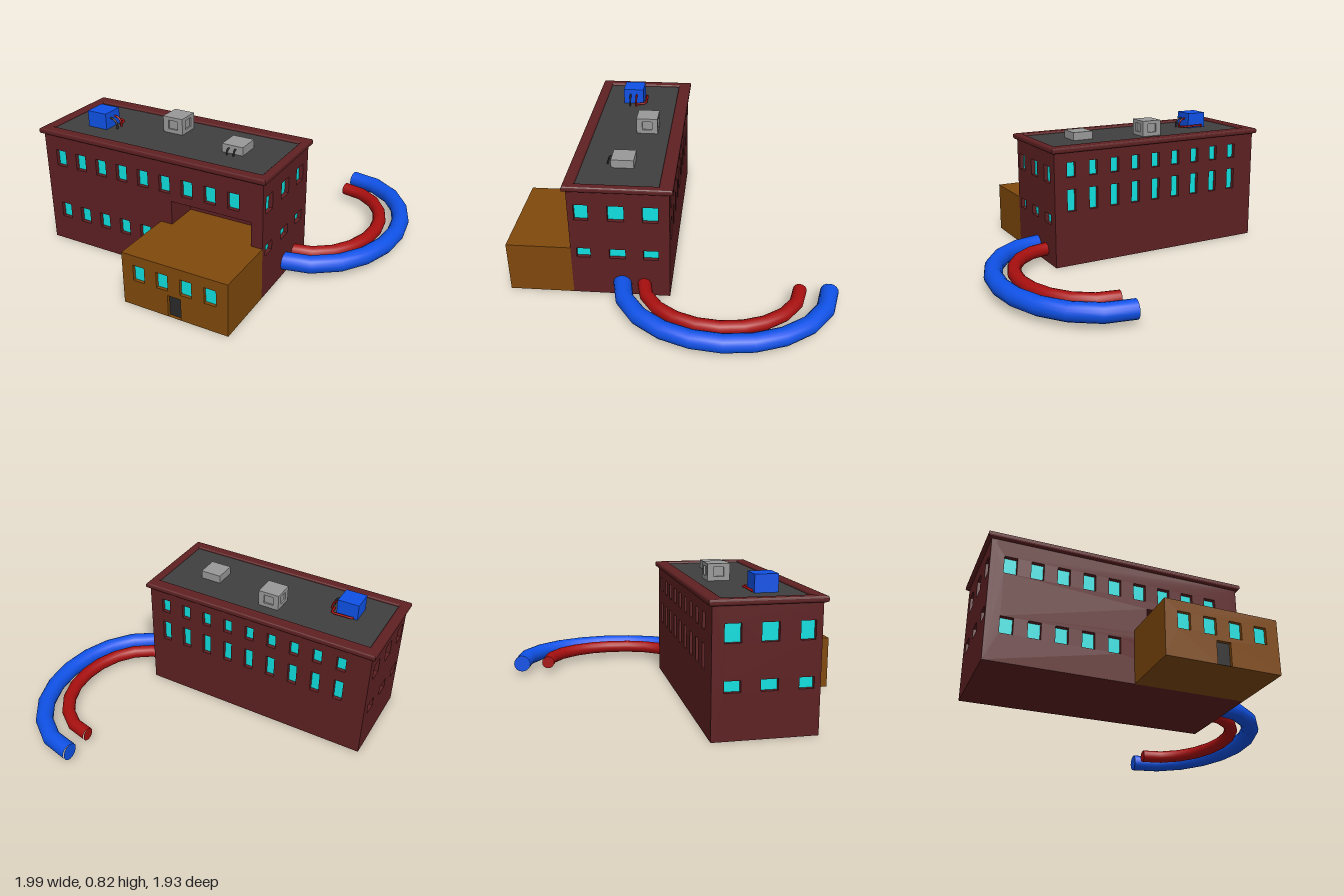
import * as THREE from 'three';

const mat = (color) => new THREE.MeshStandardMaterial({ color });
const BRICK = mat(0x5e2022), ROOF = mat(0x3f3f3f), OCHRE = mat(0x80490c), GLASS = mat(0x10e0e0);
const DOOR = mat(0x2a2a2a), BLUE = mat(0x0f52e8), RED = mat(0xa80f0f), GREY = mat(0x999999), DARK = mat(0x30303a);

function add(parent, name, geometry, material) {
  const mesh = new THREE.Mesh(geometry, material);
  mesh.name = name;
  parent.add(mesh);
  return mesh;
}

// Box given by its minimum and maximum corners
function box(parent, name, [x0, y0, z0], [x1, y1, z1], material) {
  const mesh = add(parent, name, new THREE.BoxGeometry(x1 - x0, y1 - y0, z1 - z0), material);
  mesh.position.set((x0 + x1) / 2, (y0 + y1) / 2, (z0 + z1) / 2);
  return mesh;
}

function rect(Type, x0, y0, x1, y1) {
  const s = new Type();
  s.moveTo(x0, y0);
  s.lineTo(x1, y0);
  s.lineTo(x1, y1);
  s.lineTo(x0, y1);
  s.closePath();
  return s;
}

// Wall panel facing +z with openings; each opening is { r: [x0, y0, x1, y1], m: pane material }
function wall(parent, name, [x0, y0, x1, y1], depth, openings, material) {
  const g = new THREE.Group();
  g.name = name;
  const shape = rect(THREE.Shape, x0, y0, x1, y1);
  for (const { r, m } of openings) {
    shape.holes.push(rect(THREE.Path, ...r));
    if (m) box(g, m === DOOR ? 'door' : 'windowPane', [r[0], r[1], -0.004], [r[2], r[3], 0.006], m);
  }
  add(g, name + 'Panel', new THREE.ExtrudeGeometry(shape, { depth, bevelEnabled: false }), material);
  parent.add(g);
  return g;
}

// Evenly spaced row of windows
const row = (start, step, count, w, y0, y1) => Array.from({ length: count }, (_, i) => {
  const x = start + i * step;
  return { r: [x - w / 2, y0, x + w / 2, y1], m: GLASS };
});

function tube(parent, name, points, radius, segments, material, sides = 8) {
  const curve = new THREE.CatmullRomCurve3(points.map((p) => new THREE.Vector3(...p)));
  return add(parent, name, new THREE.TubeGeometry(curve, segments, radius, sides), material);
}

// Large half-ring pipe beside the building, with flat ends
function ringPipe(parent, name, cz, rx, rz, radius, material) {
  const points = [];
  for (let i = 0; i <= 10; i++) {
    const a = -Math.PI / 2 + (Math.PI * i) / 10;
    points.push([0.45 + rx * Math.cos(a), 0.08, cz + rz * Math.sin(a)]);
  }
  tube(parent, name, points, radius, 10, material, 16);
  for (const s of [-1, 1]) {
    const cap = add(parent, name + 'End', new THREE.CircleGeometry(radius, 16), material);
    cap.position.set(0.45, 0.08, cz + s * rz);
    cap.rotation.y = -Math.PI / 2;
  }
}

export function createModel() {
  const model = new THREE.Group();
  model.name = 'building';
  const T = 0.03, X0 = -0.98, X1 = 0.47, Z0 = 0.01, Z1 = 0.585, H = 0.71;

  // Main block walls
  wall(model, 'frontWall', [X0, 0, X1, H], T, [
    ...row(-0.87, 0.1455, 9, 0.07, 0.507, 0.607),
    ...row(-0.87, 0.1455, 5, 0.07, 0.16, 0.255),
    { r: [-0.1, 0.31, 0.4, 0.46] },
  ], BRICK).position.z = Z1 - T;

  const back = wall(model, 'backWall', [-X1, 0, -X0, H], T, [
    ...row(-0.36, 0.146, 9, 0.055, 0.55, 0.64),
    ...row(-0.36, 0.146, 9, 0.055, 0.34, 0.475),
  ], BRICK);
  back.rotation.y = Math.PI;
  back.position.z = Z0 + T;

  const columns = [[0.47, 0.55], [0.267, 0.36], [0.075, 0.163]];
  for (const s of [1, -1]) {
    const openings = columns.flatMap(([a, b]) => [[0.51, 0.61], [0.255, 0.317]].map(([y0, y1]) => ({
      r: s > 0 ? [-b, y0, -a, y1] : [a, y0, b, y1], m: GLASS,
    })));
    const span = s > 0 ? [-Z1, 0, -Z0, H] : [Z0, 0, Z1, H];
    const end = wall(model, s > 0 ? 'leftEndWall' : 'rightEndWall', span, T, openings, BRICK);
    end.rotation.y = s * Math.PI / 2;
    end.position.x = s > 0 ? X1 - T : X0 + T;
  }
  box(model, 'baseSlab', [X0 + 0.002, 0, Z0 + 0.002], [X1 - 0.002, 0.02, Z1 - 0.002], BRICK);

  // Recess above the annex
  const zr = 0.385, zi = Z1 - T;
  box(model, 'recessBack', [-0.12, 0.29, zr - 0.02], [0.42, 0.48, zr], BRICK);
  box(model, 'recessCeiling', [-0.12, 0.46, zr], [0.42, 0.48, zi], BRICK);
  box(model, 'recessSide', [-0.12, 0.29, zr], [-0.1, 0.46, zi], BRICK);
  box(model, 'recessSide', [0.4, 0.29, zr], [0.42, 0.46, zi], BRICK);
  box(model, 'recessFloor', [-0.1, 0.29, zr], [0.4, 0.315, Z1], OCHRE);

  // Flat roof and bevelled parapet
  box(model, 'roof', [-0.96, 0.69, 0.03], [0.45, 0.722, 0.565], ROOF);
  const b = 0.012;
  const rim = rect(THREE.Shape, -1 + b, -0.605 + b, 0.49 - b, 0.01 - b);
  rim.holes.push(rect(THREE.Path, -0.94 - b, -0.54 - b, 0.44 + b, -0.07 + b));
  const parapet = add(model, 'parapet', new THREE.ExtrudeGeometry(rim, {
    depth: 0.035 - 2 * b, bevelThickness: b, bevelSize: b, bevelSegments: 3,
  }), BRICK);
  parapet.rotation.x = -Math.PI / 2;
  parapet.position.y = 0.7 + b;

  // Front annex with windows and door
  const ax = -0.175, az = 0.965, ah = 0.315, at = 0.025;
  box(model, 'annexBody', [ax, 0, Z1], [X1, ah, az - at], OCHRE);
  wall(model, 'annexFront', [ax, 0, X1, ah], at, [
    ...row(-0.07, 0.145, 4, 0.07, 0.16, 0.255),
    { r: [0.107, 0.0005, 0.187, 0.132], m: DOOR },
  ], OCHRE).position.z = az - at;

  // Half-ring pipes
  ringPipe(model, 'bluePipe', -0.31, 0.487, 0.605, 0.053, BLUE);
  ringPipe(model, 'redPipe', -0.29, 0.365, 0.455, 0.04, RED);

  // Blue rooftop unit with hoses
  const Y = 0.72;
  box(model, 'blueRoofUnit', [-0.78, Y, 0.285], [-0.65, 0.82, 0.415], BLUE);
  for (const [z, m] of [[0.33, RED], [0.37, DARK]]) {
    tube(model, 'sideHose', [[-0.66, 0.783, z], [-0.63, 0.778, z], [-0.61, 0.758, z], [-0.604, Y, z]], 0.006, 8, m);
  }
  tube(model, 'backHose', [[-0.75, Y, 0.3], [-0.75, 0.735, 0.272], [-0.69, 0.737, 0.268],
    [-0.63, 0.735, 0.272], [-0.62, 0.73, 0.33]], 0.007, 12, RED);

  // Grey rooftop vent with a sunken square on each side
  const vent = new THREE.Group();
  vent.name = 'roofVent';
  vent.position.set(-0.275, 0, 0.21);
  box(vent, 'ventCore', [-0.055, Y, -0.055], [0.055, 0.815, 0.055], GREY);
  box(vent, 'ventTop', [-0.055, 0.81, -0.055], [0.055, 0.82, 0.055], GREY);
  for (let i = 0; i < 4; i++) {
    const side = wall(vent, 'ventSide', [-0.065, Y, 0.065, 0.82], 0.01, [{ r: [-0.03, 0.746, 0.03, 0.8] }], GREY);
    side.rotation.y = (i * Math.PI) / 2;
    side.position.set(Math.sin(side.rotation.y) * 0.055, 0, Math.cos(side.rotation.y) * 0.055);
  }
  model.add(vent);

  // Low grey rooftop unit with two short hoses
  box(model, 'lowRoofUnit', [0.105, Y, 0.235], [0.235, 0.772, 0.367], GREY);
  for (const x of [0.148, 0.19]) {
    tube(model, 'frontHose', [[x, 0.752, 0.36], [x, 0.75, 0.38], [x, 0.74, 0.39], [x, Y, 0.393]], 0.005, 6, DARK);
  }
  return model;
}
